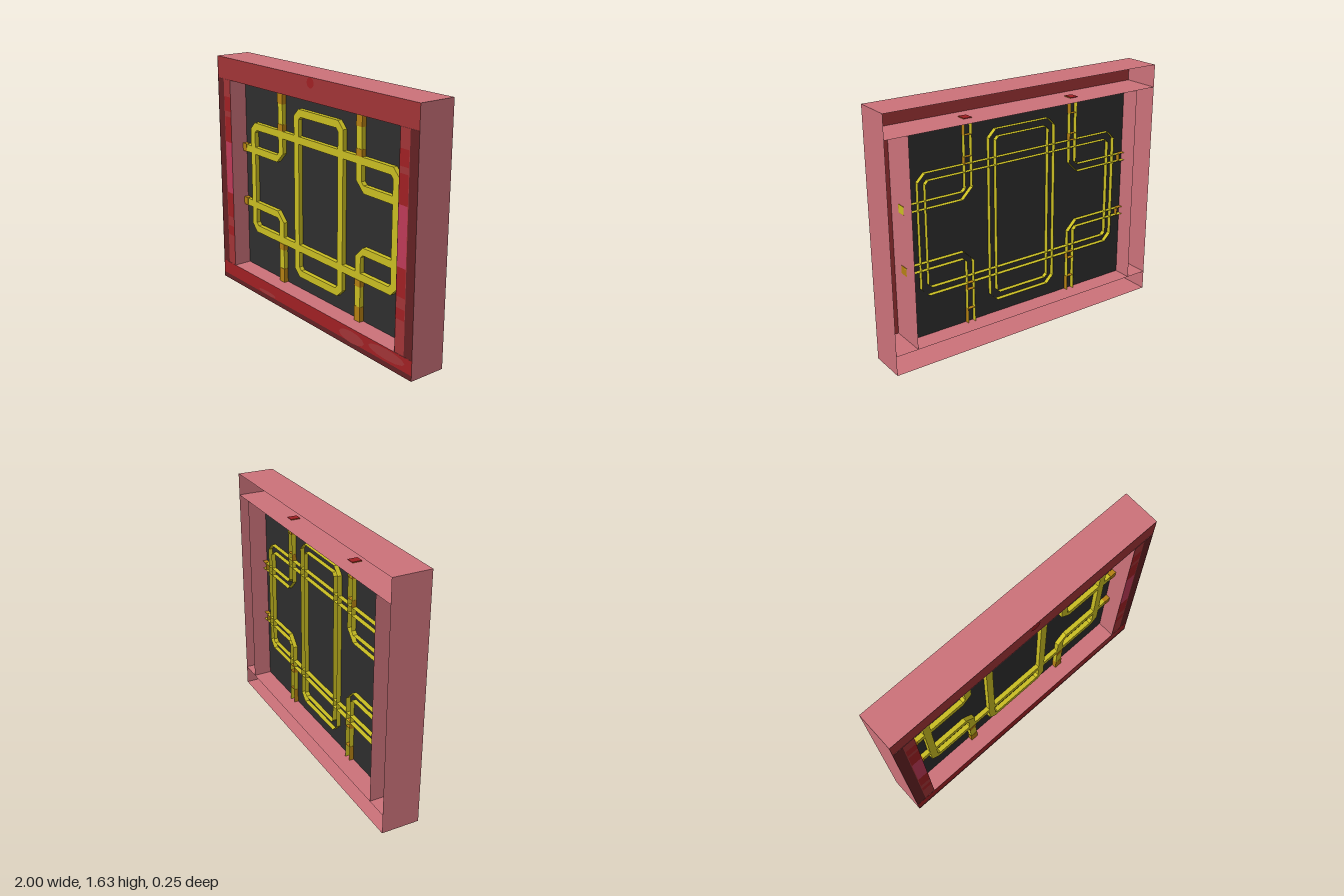
import * as THREE from 'three';

const mat = (name, color) => {
  const m = new THREE.MeshStandardMaterial({ color, side: THREE.DoubleSide });
  m.name = name;
  return m;
};

export function createModel() {
  const pink = mat('frame pink', 0xcc727a);
  const red = mat('front red', 0xa13436);
  const bright = mat('bright red', 0x9f2023);
  const maroon = mat('dark maroon', 0x632123);
  const crimson = mat('crimson', 0xbd3a58);
  const yellow = mat('lattice yellow', 0xc9bd22);
  const ochre = mat('lattice ochre', 0xb48013);
  const black = mat('panel black', 0x2e2e2e);

  const root = new THREE.Group();
  root.name = 'latticeWindow';
  const W = 1, H = 1.63, D = 0.125;           // outer half width, height, half depth
  const IX = 0.85, Y0 = 0.13, Y1 = 1.48;      // opening
  const MID = (Y0 + Y1) / 2;

  const add = (name, geo, material, x = 0, y = 0, z = 0, parent = root) => {
    const m = new THREE.Mesh(geo, material);
    m.name = name;
    m.position.set(x, y, z);
    parent.add(m);
    return m;
  };
  // flat sheets given by their limits
  const rectXY = (name, m, x0, x1, y0, y1, z) =>
    add(name, new THREE.PlaneGeometry(x1 - x0, y1 - y0), m, (x0 + x1) / 2, (y0 + y1) / 2, z);
  const sheetY = (name, m, halfW, y) =>
    add(name, new THREE.PlaneGeometry(2 * halfW, 2 * D).rotateX(-Math.PI / 2), m, 0, y, 0);
  const sheetX = (name, m, x, y0, y1) =>
    add(name, new THREE.PlaneGeometry(2 * D, y1 - y0).rotateY(Math.PI / 2), m, x, (y0 + y1) / 2, 0);

  // hollow frame, open at the back
  sheetY('outerTop', pink, W, H);
  sheetY('outerBottom', pink, W, 0);
  sheetY('innerTop', pink, W, Y1);
  sheetY('innerBottom', pink, W, Y0);
  for (const s of [-1, 1]) {
    sheetX('outerSide', pink, s * W, 0, H);
    sheetX('innerSide', pink, s * IX, Y0, Y1);
  }

  const toVec = pts => pts.map(([x, y]) => new THREE.Vector2(x, y));
  const rect = (x0, x1, y0, y1) => [[x0, y0], [x1, y0], [x1, y1], [x0, y1]];
  const front = new THREE.Shape(toVec(rect(-W, W, 0, H)));
  front.holes.push(new THREE.Path(toVec(rect(-IX, IX, Y0, Y1))));
  add('frontFace', new THREE.ShapeGeometry(front), red, 0, 0, D - 0.002);

  // painted wear on the front face
  const Z = D - 0.001;
  for (const s of [-1, 1]) {
    const stripe = (name, m, a, b, y0, y1, z = Z) =>
      rectXY(name, m, Math.min(s * a, s * b), Math.max(s * a, s * b), y0, y1, z);
    stripe('outerShade', maroon, 0.93, 1, 0.13, 1.48);
    stripe('brightBand', bright, IX, 0.925, 1.26, 1.36);
    stripe('brightBand', bright, IX, 0.925, 1.04, 1.22);
    stripe('crimsonBand', crimson, IX, 0.925, 0.67, 1.04);
    stripe('brightBand', bright, IX, 0.925, 0.49, 0.67);
    stripe('brightBand', bright, IX, 0.925, 0.35, 0.42);
  }
  rectXY('bottomBand', bright, -W, W, 0.03, Y0, Z);
  rectXY('bottomShade', maroon, -W, W, 0, 0.035, Z + 0.0005);
  const blob = (name, m, x, y, rx, ry) =>
    add(name, new THREE.CircleGeometry(1, 12).scale(rx, ry, 1), m, x, y, Z + 0.001);
  blob('wornPatch', red, 0.46, 0.07, 0.12, 0.04);
  blob('wornPatch', red, 0.78, 0.085, 0.16, 0.035);
  blob('wornPatch', red, -0.45, 0.05, 0.1, 0.014);
  blob('topChip', bright, 0.05, 1.595, 0.035, 0.034);

  // dark panel in the middle of the depth
  rectXY('panel', black, -IX, IX, Y0, Y1, 0);

  // bars run through the panel: front and side walls, no back
  const R = 0.03;
  const openBack = (pts, hole, extra = 0) => {
    const shape = new THREE.Shape(toVec(pts));
    if (hole) shape.holes.push(new THREE.Path(toVec(hole)));
    const full = new THREE.ExtrudeGeometry(shape, { depth: 2 * R + extra, bevelEnabled: false });
    const skip = full.groups[0].count / 2;    // leave out the rear cap
    const g = new THREE.BufferGeometry();
    g.setAttribute('position',
      new THREE.Float32BufferAttribute(full.attributes.position.array.slice(skip * 3), 3));
    g.computeVertexNormals();
    return g.translate(0, 0, -R);
  };
  const chamfered = (hx, hy, c) => [
    [-hx + c, -hy], [hx - c, -hy], [hx, -hy + c], [hx, hy - c],
    [hx - c, hy], [-hx + c, hy], [-hx, hy - c], [-hx, -hy + c]];
  const ring = (name, hx, hy) =>
    add(name, openBack(chamfered(hx, hy, 0.05), chamfered(hx - 0.05, hy - 0.05, 0.02)), yellow, 0, MID, 0);
  ring('tallRing', 0.25, 0.575);
  ring('wideRing', 0.75, 0.395);

  // four corner elbows with ochre sleeves
  const a = 0.375, b = 0.425, lo = 0.172, hi = 0.222;
  const endX = IX + 0.003, endY = Y1 - MID + 0.003;
  const elbow = [[a, endY], [a, lo + 0.07], [a + 0.07, lo], [endX, lo],
    [endX, hi], [b + 0.02, hi], [b, hi + 0.02], [b, endY]];
  const e = 0.002;
  for (const sx of [-1, 1]) for (const sy of [-1, 1]) {
    const corner = new THREE.Group();
    corner.name = 'cornerElbow';
    corner.position.y = MID;
    root.add(corner);
    const flip = pts => {
      const p = pts.map(([x, y]) => [x * sx, y * sy]);
      return sx * sy < 0 ? p.reverse() : p;
    };
    const part = (name, pts, m, extra) => add(name, openBack(flip(pts), null, extra), m, 0, 0, 0, corner);
    part('elbowBar', elbow, yellow, 0);
    part('endSleeve', rect(a - e, b + e, 0.575, endY), ochre, e);
    part('middleSleeve', rect(a - e, b + e, 0.395, 0.44), ochre, e);
    part('sideSleeve', rect(0.805, endX, lo - e, hi + e), ochre, e);
    // bar end showing through the inner frame sheet
    add('barEnd', new THREE.BoxGeometry(0.054, 0.004, 0.064), bright, sx * 0.4, sy * (endY + 0.001), 0, corner);
  }
  return root;
}
